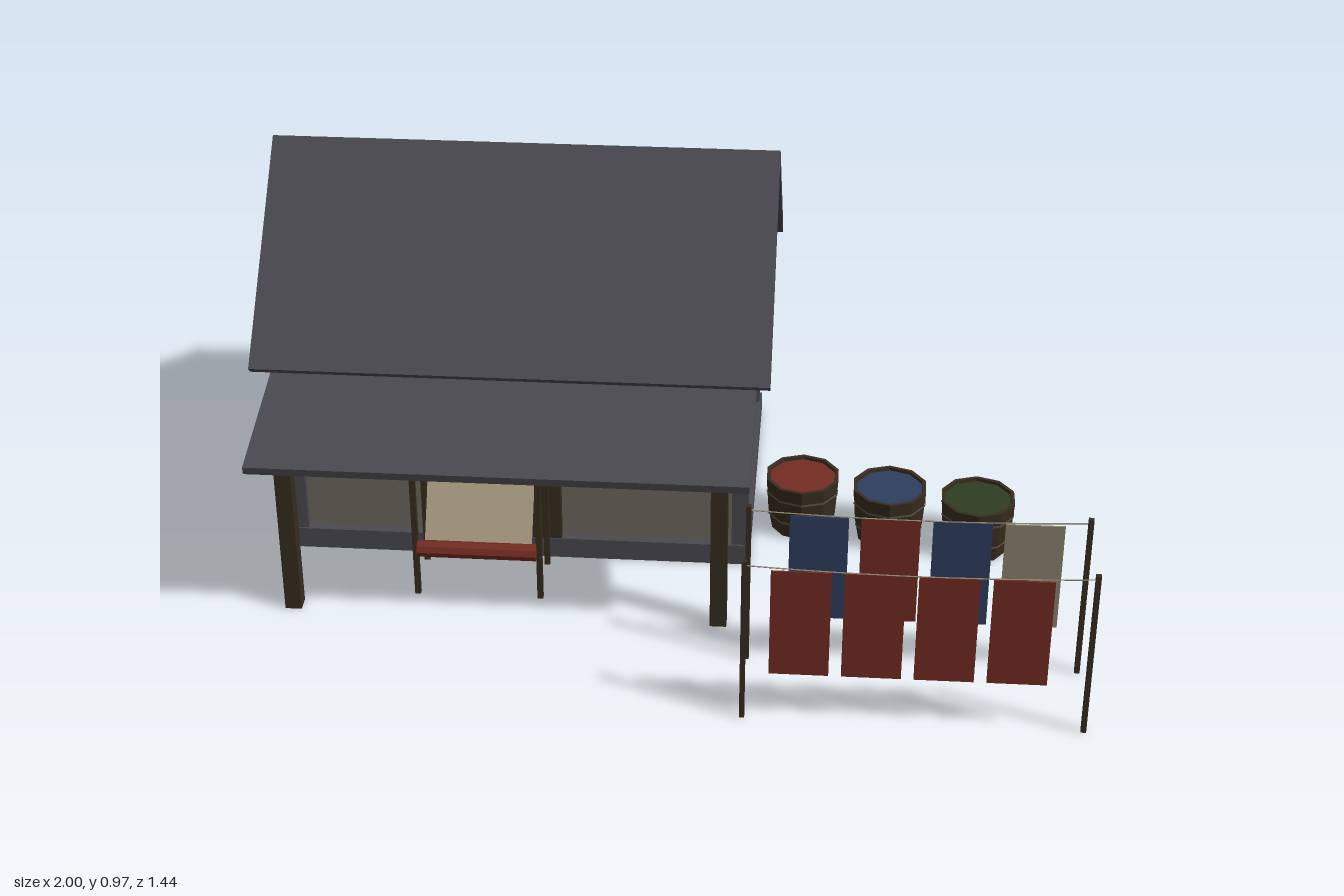
import * as THREE from 'three';

const mat = (name, color, double = false) => {
  const m = new THREE.MeshStandardMaterial({ color, flatShading: true });
  m.name = name;
  if (double) m.side = THREE.DoubleSide;
  return m;
};

export function createModel() {
  const slate = mat('slate', 0x4a494f);
  const plaster = mat('plaster', 0x6e6a61);
  const wood = mat('darkWood', 0x382d1f, true);
  const red = mat('redDye', 0x742c22, true);
  const blue = mat('blueDye', 0x2f3e60, true);
  const green = mat('greenDye', 0x2e3d24, true);
  const linen = mat('linen', 0x8c846e, true);
  const cream = mat('creamCloth', 0xa8997f, true);
  const iron = mat('hoopIron', 0x5c574c, true);

  const model = new THREE.Group();
  model.name = 'dyerCottage';
  const group = (name, parent = model) => {
    const g = new THREE.Group();
    g.name = name;
    parent.add(g);
    return g;
  };
  const add = (parent, name, geo, material) => {
    const m = new THREE.Mesh(geo, material);
    m.name = name;
    parent.add(m);
    return m;
  };
  // box given by its extents on each axis
  const box = (parent, name, [x0, x1], [y0, y1], [z0, z1], material) => {
    const m = add(parent, name, new THREE.BoxGeometry(x1 - x0, y1 - y0, z1 - z0), material);
    m.position.set((x0 + x1) / 2, (y0 + y1) / 2, (z0 + z1) / 2);
    return m;
  };
  // sloping board between two [z, y] points
  const slab = (parent, name, [x0, x1], a, b, t, material) => {
    const dz = b[0] - a[0], dy = b[1] - a[1];
    const m = add(parent, name, new THREE.BoxGeometry(x1 - x0, t, Math.hypot(dz, dy)), material);
    m.position.set((x0 + x1) / 2, (a[1] + b[1]) / 2, (a[0] + b[0]) / 2);
    m.rotation.x = Math.atan2(-dy, dz);
    return m;
  };

  // House body: gabled prism on a stone base
  const house = group('house');
  box(house, 'base', [-0.955, 0.205], [0, 0.055], [-0.66, 0.1], slate);
  const gable = new THREE.Shape([
    [-0.075, 0.02], [0.635, 0.02], [0.635, 0.585], [0.26, 0.94], [-0.075, 0.585],
  ].map(([u, v]) => new THREE.Vector2(u, v)));
  const walls = add(house, 'walls',
    new THREE.ExtrudeGeometry(gable, { depth: 1.12, bevelEnabled: false }), plaster);
  walls.rotation.y = Math.PI / 2;
  walls.position.x = -0.935;
  for (const x of [-0.945, 0.16]) {
    for (const z of [-0.65, 0.055]) {
      box(house, 'cornerPost', [x, x + 0.04], [0.01, 0.585], [z, z + 0.04], slate);
    }
  }
  box(house, 'door', [-0.485, -0.265], [0.05, 0.4], [0.06, 0.098], wood);
  box(house, 'lintel', [-0.515, -0.235], [0.4, 0.48], [0.06, 0.102], slate);

  // Main roof and porch
  const roof = group('roof');
  slab(roof, 'frontRoofSlope', [-1, 0.25], [0.17, 0.549], [-0.268, 0.96], 0.022, slate);
  slab(roof, 'backRoofSlope', [-1, 0.25], [-0.715, 0.533], [-0.258, 0.96], 0.022, slate);
  const porch = group('porch');
  slab(porch, 'porchRoof', [-0.965, 0.215], [0.443, 0.437], [0.03, 0.511], 0.02, slate);
  for (const x of [-0.912, 0.122]) {
    box(porch, 'porchPost', [x, x + 0.04], [0, 0.432], [0.33, 0.37], wood);
  }

  // Loom under the porch
  const loom = group('loom');
  for (const z of [0.13, 0.278]) {
    for (const x of [-0.6, -0.298]) {
      box(loom, 'loomLeg', [x - 0.007, x + 0.007], [0, 0.333], [z - 0.007, z + 0.007], wood);
    }
  }
  box(loom, 'loomTopBeam', [-0.6, -0.298], [0.318, 0.333], [0.123, 0.137], wood);
  box(loom, 'loomLowerBeam', [-0.6, -0.298], [0.113, 0.127], [0.271, 0.285], wood);
  slab(loom, 'warpSheet', [-0.58, -0.318], [0.262, 0.138], [0.148, 0.318], 0.003, cream);
  const roll = add(loom, 'clothRoll', new THREE.CylinderGeometry(0.021, 0.021, 0.29, 8), red);
  roll.rotation.z = Math.PI / 2;
  roll.position.set(-0.449, 0.135, 0.286);

  // Washing lines with hanging cloths
  const rows = [
    { z: 0.715, start: 0.275, cloths: [red, red, red, red] },
    { z: 0.49, start: 0.31, cloths: [blue, red, blue, linen] },
  ];
  for (const { z, start, cloths } of rows) {
    const line = group('washingLine');
    for (const x of [0.216, 0.992]) {
      box(line, 'linePole', [x - 0.006, x + 0.006], [0, 0.427], [z - 0.006, z + 0.006], wood);
    }
    const sag = new THREE.QuadraticBezierCurve3(
      new THREE.Vector3(0.216, 0.415, z),
      new THREE.Vector3(0.604, 0.393, z),
      new THREE.Vector3(0.992, 0.415, z));
    add(line, 'rope', new THREE.TubeGeometry(sag, 12, 0.0018, 4), linen);
    cloths.forEach((material, i) => {
      const x = start + i * 0.1635;
      box(line, 'hangingCloth', [x, x + 0.135], [0.125, 0.404], [z - 0.002, z + 0.002], material);
    });
  }

  // Dye barrels: stave wall, floor, hoops and coloured liquid
  const profile = [[0, 0], [0.078, 0], [0.089, 0.06], [0.095, 0.147], [0.086, 0.147], [0.084, 0.12]]
    .map(([r, y]) => new THREE.Vector2(r, y));
  [[0.33, -0.1, red], [0.55, -0.062, blue], [0.77, -0.027, green]].forEach(([x, z, dye]) => {
    const barrel = group('dyeBarrel');
    barrel.position.set(x, 0, z);
    add(barrel, 'staves', new THREE.LatheGeometry(profile, 10), wood);
    for (const [y, r] of [[0.045, 0.088], [0.11, 0.0942]]) {
      const hoop = add(barrel, 'hoop',
        new THREE.CylinderGeometry(r + 0.0005, r, 0.006, 10, 1, true), iron);
      hoop.position.y = y;
    }
    const liquid = add(barrel, 'dye', new THREE.CylinderGeometry(0.085, 0.085, 0.004, 10), dye);
    liquid.position.y = 0.137;
  });

  return model;
}
